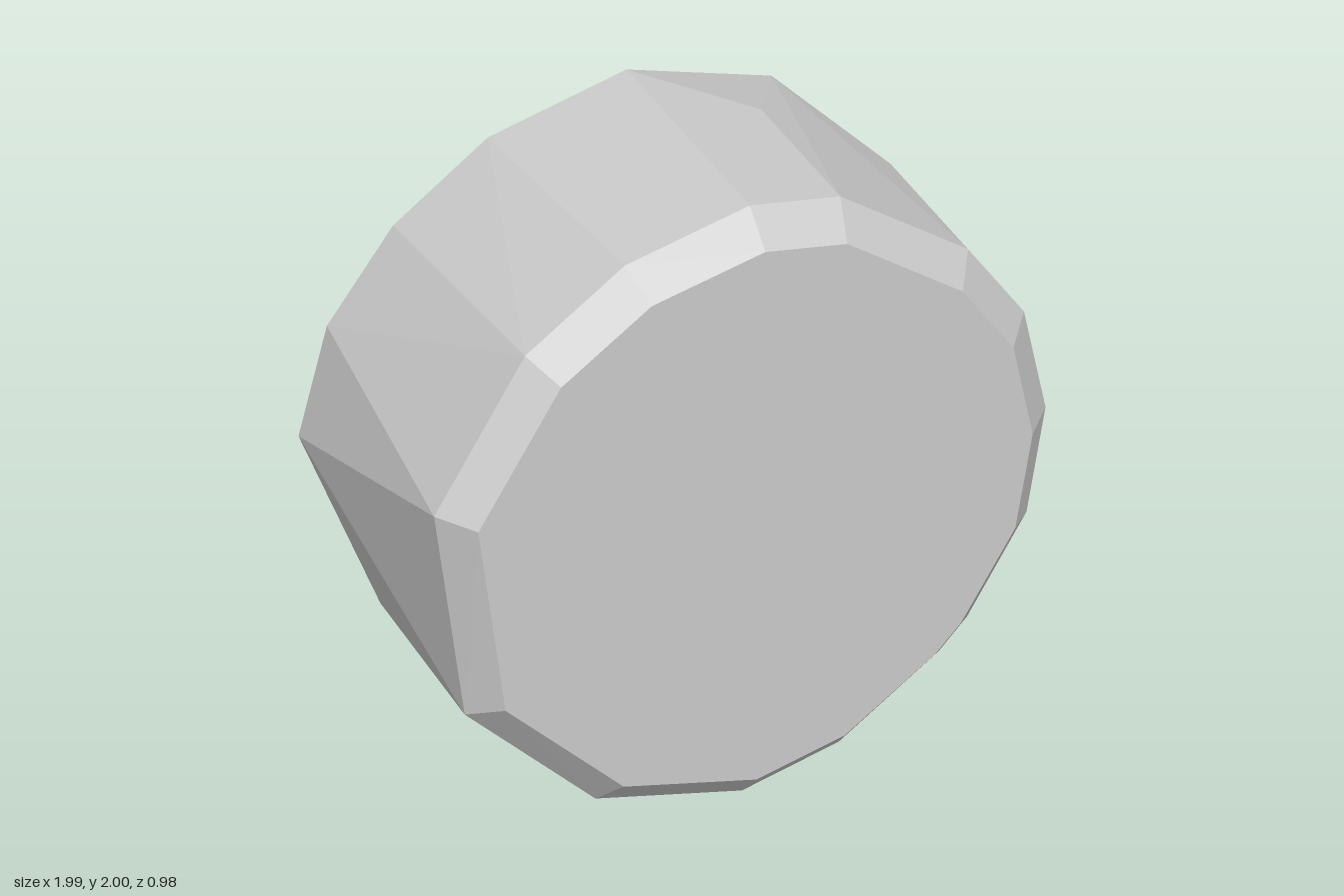
import * as THREE from 'three';
import { ConvexGeometry } from 'three/addons/geometries/ConvexGeometry.js';

// Uneven rim outlines, [x, y], of the front and back shoulders
const frontRim = [
  [-0.36, 1.92], [-0.68, 1.71], [-0.97, 1.25], [-0.87, 0.54], [-0.45, 0.12],
  [0.02, 0], [0.33, 0.07], [0.65, 0.28], [0.74, 0.37], [0.93, 0.67],
  [0.99, 1.01], [0.92, 1.36], [0.74, 1.63], [0.33, 1.94], [0.04, 2],
];
const backRim = [
  [0.5, 1.84], [0.04, 2], [-0.4, 1.9], [-0.7, 1.69], [-0.91, 1.41], [-1, 1.06], [-0.74, 0.41],
  [-0.38, 0.12], [0.02, 0.02], [0.5, 0.17], [0.89, 0.59], [0.99, 1.01], [0.92, 1.36],
];

// Places a rim at a depth, shrunk about the disc's axis and tilted a little
function ring(rim, z, scale = 1, tiltX = 0, tiltY = 0) {
  return rim.map(([x, y]) => new THREE.Vector3(
    x * scale,
    1 + (y - 1) * scale,
    z + tiltX * x + tiltY * (y - 1),
  ));
}

export function createModel() {
  // Chamfered cross-sections from front to back, wrapped in a faceted skin
  const points = [
    ...ring(frontRim, 0.475, 0.905, -0.01, 0.01),
    ...ring(frontRim, 0.375, 1, -0.015, 0.005),
    // the chipped side keeps its front outline past the middle
    ...ring(frontRim.filter(([x]) => x > 0), -0.12),
    ...ring(backRim, -0.395, 1, 0.005),
    ...ring(backRim, -0.485, 0.905, 0.005),
  ];

  const stone = new THREE.Mesh(
    new ConvexGeometry(points),
    new THREE.MeshStandardMaterial({ color: 0xcccccc, flatShading: true }),
  );
  stone.name = 'stoneDisc';

  const model = new THREE.Group();
  model.name = 'roundStone';
  model.add(stone);
  return model;
}
